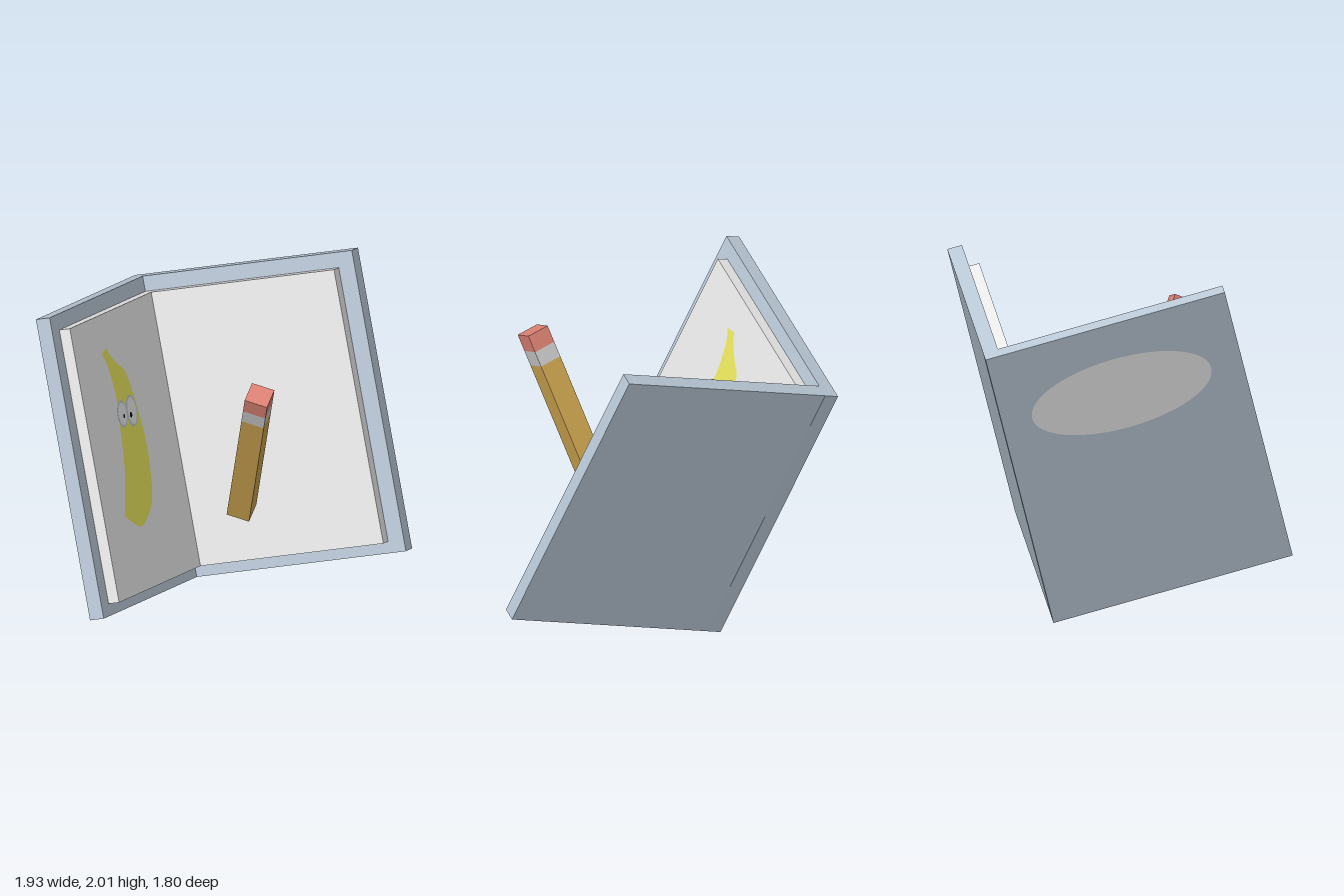
import * as THREE from 'three';

const mat = (name, color) => {
  const m = new THREE.MeshStandardMaterial({ color });
  m.name = name;
  return m;
};

export function createModel() {
  const blue = mat('coverBlue', 0xb8c6d4);
  const paper = mat('paper', 0xe9e9e9);
  const yellow = mat('bananaYellow', 0xeae65e);
  const black = mat('black', 0x0c0c0c);
  const wood = mat('pencilYellow', 0xcda550);
  const metal = mat('ferrule', 0xcacaca);
  const pink = mat('eraserPink', 0xdd8274);

  const model = new THREE.Group();
  model.name = 'bookAndPencil';

  const add = (parent, name, geometry, material, x = 0, y = 0, z = 0) => {
    const mesh = new THREE.Mesh(geometry, material);
    mesh.name = name;
    mesh.position.set(x, y, z);
    parent.add(mesh);
    return mesh;
  };
  // Box given by its minimum and maximum corners
  const block = (parent, name, material, a, b) => add(
    parent, name,
    new THREE.BoxGeometry(b[0] - a[0], b[1] - a[1], b[2] - a[2]), material,
    (a[0] + b[0]) / 2, (a[1] + b[1]) / 2, (a[2] + b[2]) / 2);

  // Book: the spine runs up local y, one cover opens along x, the other along z
  const book = new THREE.Group();
  book.name = 'book';
  book.position.set(-0.366, 0.004, -0.434);
  book.rotation.set(-0.277, 0, 0.3, 'ZYX');
  model.add(book);

  const W = 1.388, H = 1.717, T = 0.085;
  const PAGE = 0.15, PAGE_W = 1.29, PAGE_LOW = 0.067, PAGE_HIGH = 1.63;

  block(book, 'frontCover', blue, [0, 0, 0], [T, H, W]);
  block(book, 'frontPages', paper, [T, PAGE_LOW, T], [PAGE, PAGE_HIGH, PAGE_W]);

  const backHalf = new THREE.Group();
  backHalf.name = 'backHalf';
  backHalf.rotation.y = -0.01;
  book.add(backHalf);
  block(backHalf, 'backCover', blue, [0.08, 0, 0], [W, H, T]);
  block(backHalf, 'backPages', paper, [0.14, PAGE_LOW, T], [PAGE_W, PAGE_HIGH, PAGE]);

  // Oval label on the outside of the front cover
  const oval = new THREE.CircleGeometry(1, 48).scale(0.52, 0.22, 1).rotateY(-Math.PI / 2);
  add(book, 'coverLabel', oval, paper, -0.004, 1.284, 0.69);

  // Banana drawing on the front page; points are [z, y] on the page
  const toPoint = ([z, y]) => new THREE.Vector2(-z, y);
  const outer = [
    [0.873, 1.444], [0.836, 1.392], [0.75, 1.324], [0.681, 1.274], [0.613, 1.092],
    [0.573, 0.872], [0.584, 0.679], [0.63, 0.533], [0.724, 0.454], [0.846, 0.419],
    [1.02, 0.509],
  ].map(toPoint);
  const inner = [
    [0.917, 0.746], [0.875, 0.988], [0.853, 1.139], [0.875, 1.276], [0.907, 1.371],
    [0.943, 1.419],
  ].map(toPoint);
  const banana = new THREE.Shape();
  banana.moveTo(outer[0].x, outer[0].y);
  banana.splineThru(outer.slice(1));
  banana.splineThru(inner);
  banana.closePath();
  add(book, 'banana', new THREE.ShapeGeometry(banana, 5).rotateY(Math.PI / 2), yellow, PAGE + 0.003);

  // Eyes: rim, white and pupil as stacked discs
  const disc = (name, material, rz, ry, layer, z, y) => add(
    book, name,
    new THREE.CircleGeometry(1, 24).scale(rz, ry, 1).rotateY(Math.PI / 2),
    material, PAGE + 0.003 + layer * 0.002, y, z);
  const eyes = [
    { z: 0.818, y: 1.056, rz: 0.066, ry: 0.076, pz: 0.808, py: 1.041, pr: 0.012 },
    { z: 0.69, y: 1.052, rz: 0.07, ry: 0.09, pz: 0.717, py: 1.033, pr: 0.016 },
  ];
  for (const e of eyes) {
    disc('eyeRim', blue, e.rz, e.ry, 1, e.z, e.y);
    disc('eyeWhite', paper, e.rz - 0.013, e.ry - 0.013, 2, e.z, e.y);
    disc('pupil', black, e.pr, e.pr, 3, e.pz, e.py);
  }

  // Square pencil, hanging down from the eraser end at its local origin
  const pencil = new THREE.Group();
  pencil.name = 'pencil';
  pencil.position.set(0.356, 1.697, 0.425);
  pencil.rotation.set(0.374, 0, -0.231);
  model.add(pencil);

  const S = 0.132;
  let top = 0;
  // Four-sided section, s0 wide at the top and s1 at the bottom
  const section = (name, material, length, s0, s1) => {
    const g = new THREE.CylinderGeometry(s0 * Math.SQRT1_2, s1 * Math.SQRT1_2, length, 4)
      .rotateY(Math.PI / 4).toNonIndexed();
    g.computeVertexNormals();
    add(pencil, name, g, material, 0, top - length / 2, 0);
    top -= length;
  };
  section('eraser', pink, 0.1, S, S);
  section('metalBand', metal, 0.09, S, S);
  section('pencilBody', wood, 0.854, S, S);
  section('sharpenedEnd', wood, 0.06, S, S * 0.25);
  section('lead', black, 0.02, S * 0.25, 0.001);

  return model;
}
